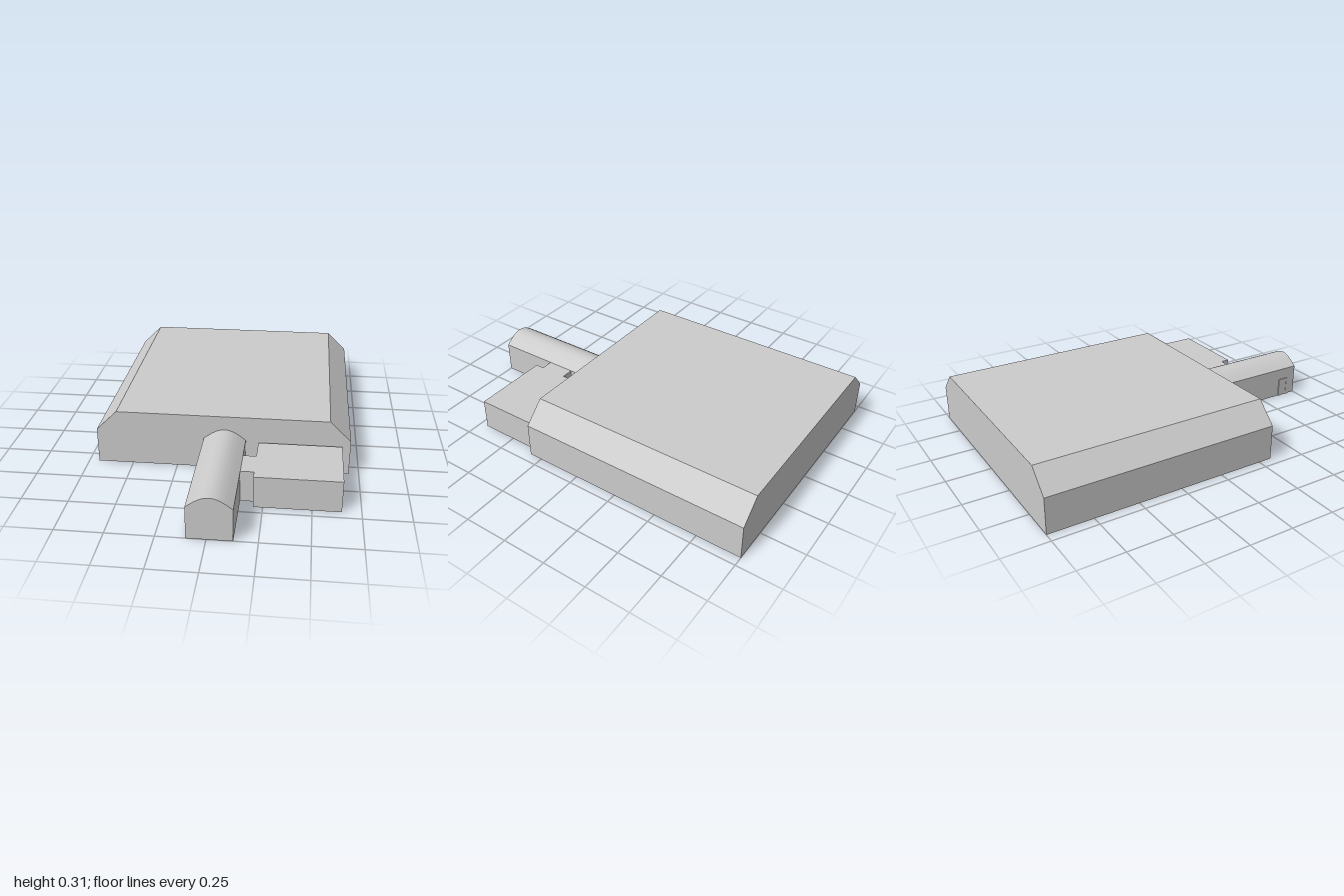
import * as THREE from 'three';

export function createModel() {
  const model = new THREE.Group();
  const material = new THREE.MeshStandardMaterial({ color: 0xcccccc });

  function add(name, geometry) {
    const mesh = new THREE.Mesh(geometry, material);
    mesh.name = name;
    model.add(mesh);
    return mesh;
  }

  // Box given by its lowest and highest corners
  function block(name, [x0, y0, z0], [x1, y1, z1]) {
    const mesh = add(name, new THREE.BoxGeometry(x1 - x0, y1 - y0, z1 - z0));
    mesh.position.set((x0 + x1) / 2, (y0 + y1) / 2, (z0 + z1) / 2);
  }

  // Cross-section in the xy plane, run from z0 to z1
  function prism(name, shape, z0, z1) {
    const mesh = add(name, new THREE.ExtrudeGeometry(shape, {
      depth: z1 - z0, bevelEnabled: false, curveSegments: 8,
    }));
    mesh.position.z = z0;
  }

  // Main hall with sloping eaves along both sides
  const hall = new THREE.Shape([
    [-0.695, 0], [0.695, 0], [0.695, 0.2], [0.58, 0.313], [-0.58, 0.313], [-0.695, 0.2],
  ].map(([x, y]) => new THREE.Vector2(x, y)));
  prism('mainHall', hall, -1, 0.325);

  // Entrance corridor with a vaulted roof
  const vault = new THREE.Shape();
  vault.moveTo(-0.1, 0);
  vault.lineTo(0.13, 0);
  vault.lineTo(0.13, 0.177);
  vault.bezierCurveTo(0.085, 0.213, 0.055, 0.234, 0.015, 0.234);
  vault.bezierCurveTo(-0.025, 0.234, -0.055, 0.213, -0.1, 0.177);
  vault.closePath();
  prism('entranceCorridor', vault, 0.325, 1);

  // Side room, its passage to the corridor and its link to the hall
  block('sideRoom', [0.2, 0, 0.345], [0.65, 0.177, 0.7]);
  block('sidePassage', [0.13, 0, 0.49], [0.2, 0.177, 0.65]);
  block('hallLink', [0.275, 0.05, 0.325], [0.62, 0.125, 0.345]);

  // Door frame on the corridor wall
  for (const z of [0.878, 0.935]) {
    block('doorJamb', [-0.105, 0, z], [-0.1, 0.11, z + 0.012]);
  }
  block('doorLintel', [-0.105, 0.098, 0.89], [-0.1, 0.11, 0.935]);
  block('doorPanel', [-0.103, 0, 0.89], [-0.1, 0.098, 0.935]);

  return model;
}
